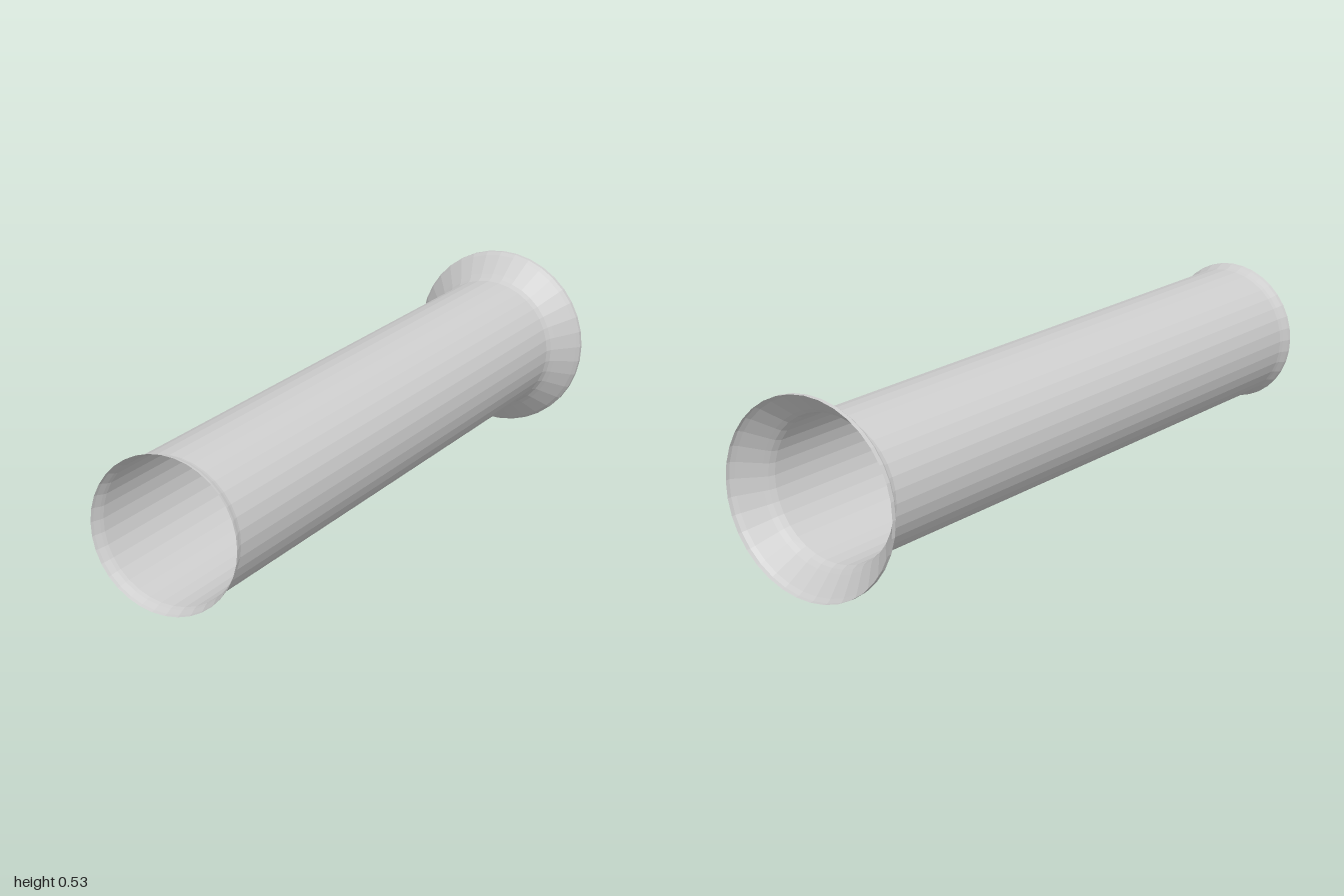
import * as THREE from 'three';

const SIDES = 36;
const CENTRE_Y = 0.267;

// Open thin-walled ring surface along z from [radius, z] points
function sleeve(name, points, material) {
  const profile = points.map(([r, z]) => new THREE.Vector2(r, z));
  const geometry = new THREE.LatheGeometry(profile, SIDES);
  geometry.rotateX(Math.PI / 2);
  const mesh = new THREE.Mesh(geometry, material);
  mesh.name = name;
  mesh.position.y = CENTRE_Y;
  return mesh;
}

export function createModel() {
  const group = new THREE.Group();
  group.name = 'flaredTube';
  const material = new THREE.MeshStandardMaterial({
    color: 0xcccccc, flatShading: true, side: THREE.DoubleSide,
  });

  // Wide flare with a short straight rim at the back
  group.add(sleeve('backFlare', [
    [0.267, -1], [0.267, -0.987], [0.259, -0.975], [0.212, -0.925], [0.202, -0.913], [0.196, -0.895],
  ], material));

  // Long straight barrel
  group.add(sleeve('barrel', [[0.196, -0.895], [0.196, 0.96]], material));

  // Slightly widened lip at the front
  group.add(sleeve('frontLip', [
    [0.196, 0.96], [0.199, 0.972], [0.206, 0.99], [0.208, 1],
  ], material));

  return group;
}
